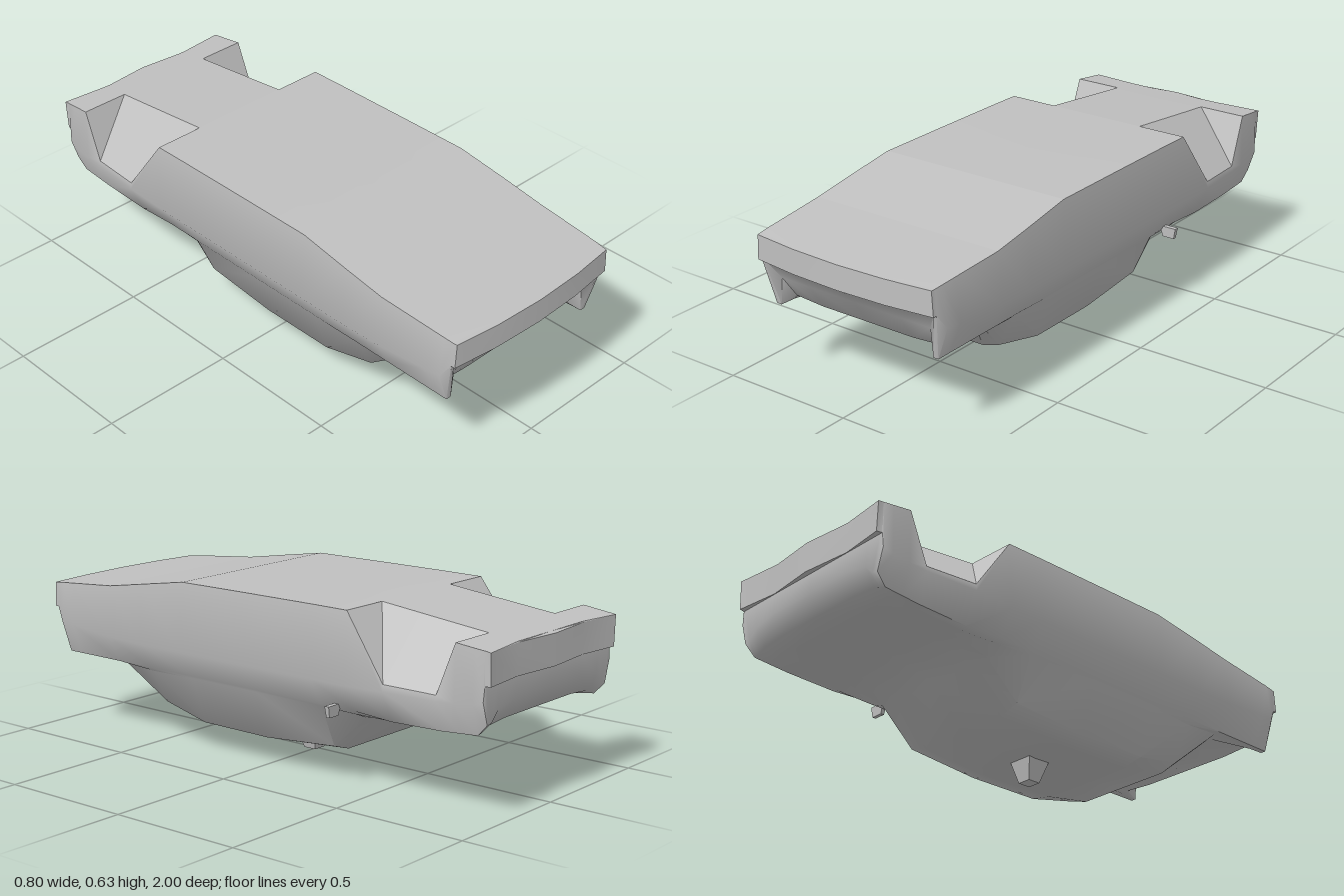
import * as THREE from 'three';
import { toCreasedNormals } from 'three/addons/utils/BufferGeometryUtils.js';

// Upper half of each section, nose to tail: z, deck y, deck edge x, y, widest x, y
const UPPER = [
  [0.97, 0.545, 0.365, 0.545, 0.37, 0.455],
  [0.955, 0.546, 0.367, 0.546, 0.37, 0.455],
  [0.92, 0.55, 0.37, 0.55, 0.385, 0.405],
  [0.86, 0.555, 0.373, 0.555, 0.388, 0.4],
  [0.66, 0.572, 0.383, 0.572, 0.396, 0.385],
  [0.5, 0.598, 0.383, 0.598, 0.397, 0.38],
  [0.3, 0.63, 0.38, 0.63, 0.397, 0.38],
  [0, 0.631, 0.38, 0.631, 0.397, 0.38],
  [-0.3, 0.631, 0.38, 0.631, 0.397, 0.38],
  [-0.44, 0.63, 0.38, 0.63, 0.396, 0.38],
  [-0.6, 0.613, 0.393, 0.41, 0.396, 0.385],
  [-0.8, 0.592, 0.378, 0.405, 0.382, 0.385],
  [-0.87, 0.585, 0.375, 0.585, 0.38, 0.39],
  [-0.94, 0.577, 0.372, 0.577, 0.378, 0.395],
  [-0.978, 0.573, 0.37, 0.573, 0.375, 0.41],
  [-0.98, 0.573, 0.37, 0.573, 0.37, 0.46],
  [-1, 0.57, 0.37, 0.57, 0.365, 0.46],
];
// Lower half: rail outer x, y, rail inner x, y, belly corner x, y, keel y
const LOWER = [
  [0.37, 0.455, 0.37, 0.455, 0.37, 0.455, 0.455],
  [0.37, 0.455, 0.36, 0.455, 0.3, 0.455, 0.455],
  [0.345, 0.285, 0.325, 0.285, 0.315, 0.385, 0.385],
  [0.345, 0.285, 0.322, 0.285, 0.31, 0.3, 0.292],
  [0.345, 0.285, 0.32, 0.285, 0.29, 0.275, 0.275],
  [0.345, 0.285, 0.33, 0.27, 0.26, 0.14, 0.12],
  [0.345, 0.285, 0.338, 0.275, 0.275, 0.1, 0.085],
  [0.345, 0.285, 0.338, 0.275, 0.275, 0.098, 0.077],
  [0.345, 0.285, 0.338, 0.275, 0.27, 0.12, 0.095],
  [0.345, 0.285, 0.33, 0.27, 0.27, 0.245, 0.24],
  [0.345, 0.275, 0.32, 0.268, 0.27, 0.28, 0.28],
  [0.345, 0.28, 0.32, 0.278, 0.27, 0.295, 0.295],
  [0.345, 0.285, 0.32, 0.285, 0.28, 0.3, 0.302],
  [0.345, 0.29, 0.322, 0.295, 0.29, 0.31, 0.318],
  [0.35, 0.33, 0.325, 0.335, 0.29, 0.37, 0.39],
  [0.37, 0.46, 0.36, 0.46, 0.3, 0.46, 0.46],
  [0.365, 0.46, 0.365, 0.46, 0.365, 0.46, 0.46],
];
const INNER = 0.193; // inner edge of the rear deck notches

// Half section from deck centre, round the side, to keel centre
function halfSection(i) {
  const [z, top, ex, ey, wx, wy] = UPPER[i];
  const [rx, ry, ix, iy, bx, by, keel] = LOWER[i];
  const outline = [[0, top], [INNER, top], [ex, ey], [wx, wy], [rx, ry],
    [ix, iy], [bx, by], [INNER, keel], [0, keel]];
  return outline.map(([x, y]) => {
    let pz = z;
    if (i < 2) pz += 0.028 * (1 - (x / 0.37) ** 2); // bowed nose
    if (i === UPPER.length - 1 && x === INNER) pz += 0.018; // wavy tail
    return new THREE.Vector3(x, y, pz);
  });
}

// Collects triangles together with their mirror images
function mirroredSurface() {
  const data = [];
  const tri = (a, b, c) => {
    const area = b.clone().sub(a).cross(c.clone().sub(a)).length();
    if (area < 1e-7) return;
    for (const p of [a, b, c]) data.push(p.x, p.y, p.z);
    for (const p of [c, b, a]) data.push(-p.x, p.y, p.z);
  };
  const quad = (a, b, c, d, otherDiagonal = false) => {
    if (otherDiagonal) { tri(a, b, d); tri(b, c, d); }
    else { tri(a, b, c); tri(a, c, d); }
  };
  const build = (crease) => {
    const g = new THREE.BufferGeometry();
    g.setAttribute('position', new THREE.Float32BufferAttribute(data, 3));
    return toCreasedNormals(g, crease);
  };
  return { quad, build };
}

// Four-sided tapered block: lower and upper rectangles given as [x0, x1, z0, z1, y]
function taperedBlock(lo, hi) {
  const g = new THREE.BoxGeometry(1, 1, 1).toNonIndexed();
  const p = g.attributes.position;
  for (let i = 0; i < p.count; i++) {
    const r = p.getY(i) < 0 ? lo : hi;
    p.setXYZ(i, p.getX(i) < 0 ? r[0] : r[1], r[4], p.getZ(i) < 0 ? r[2] : r[3]);
  }
  g.computeVertexNormals();
  return g;
}

export function createModel() {
  const group = new THREE.Group();
  const grey = new THREE.MeshStandardMaterial({ color: 0xc0c0c0 });
  grey.name = 'hull grey';
  const add = (name, geometry) => {
    const mesh = new THREE.Mesh(geometry, grey);
    mesh.name = name;
    group.add(mesh);
    return mesh;
  };

  const rings = UPPER.map((_, i) => halfSection(i));
  const deck = mirroredSurface();
  const hull = mirroredSurface();
  for (let i = 0; i < rings.length - 1; i++) {
    const a = rings[i], b = rings[i + 1];
    const notchRear = UPPER[i][0] === -0.8;
    for (let j = 0; j < a.length - 1; j++) {
      const target = j < 2 ? deck : hull;
      target.quad(a[j], a[j + 1], b[j + 1], b[j], notchRear && j === 1);
    }
  }

  // Nose and tail lips
  const f = rings[0], r = rings[rings.length - 1];
  hull.quad(f[0], f[8], f[7], f[1]);
  hull.quad(f[1], f[7], f[3], f[2]);
  hull.quad(r[1], r[7], r[8], r[0]);
  hull.quad(r[2], r[3], r[7], r[1]);

  // Flat-panelled deck with notches, smooth hull below
  add('deck', deck.build(0.02)).position.x = -0.004;
  add('hull', hull.build(1.05)).position.x = -0.004;

  // Keel fin and the small fin on the left side
  add('keelFin', taperedBlock([-0.03, 0.022, -0.01, 0.04, 0], [-0.053, 0.046, -0.03, 0.068, 0.085]));
  add('sideFin', taperedBlock([0.346, 0.393, -0.382, -0.368, 0.26], [0.335, 0.4, -0.384, -0.366, 0.3]));
  return group;
}
